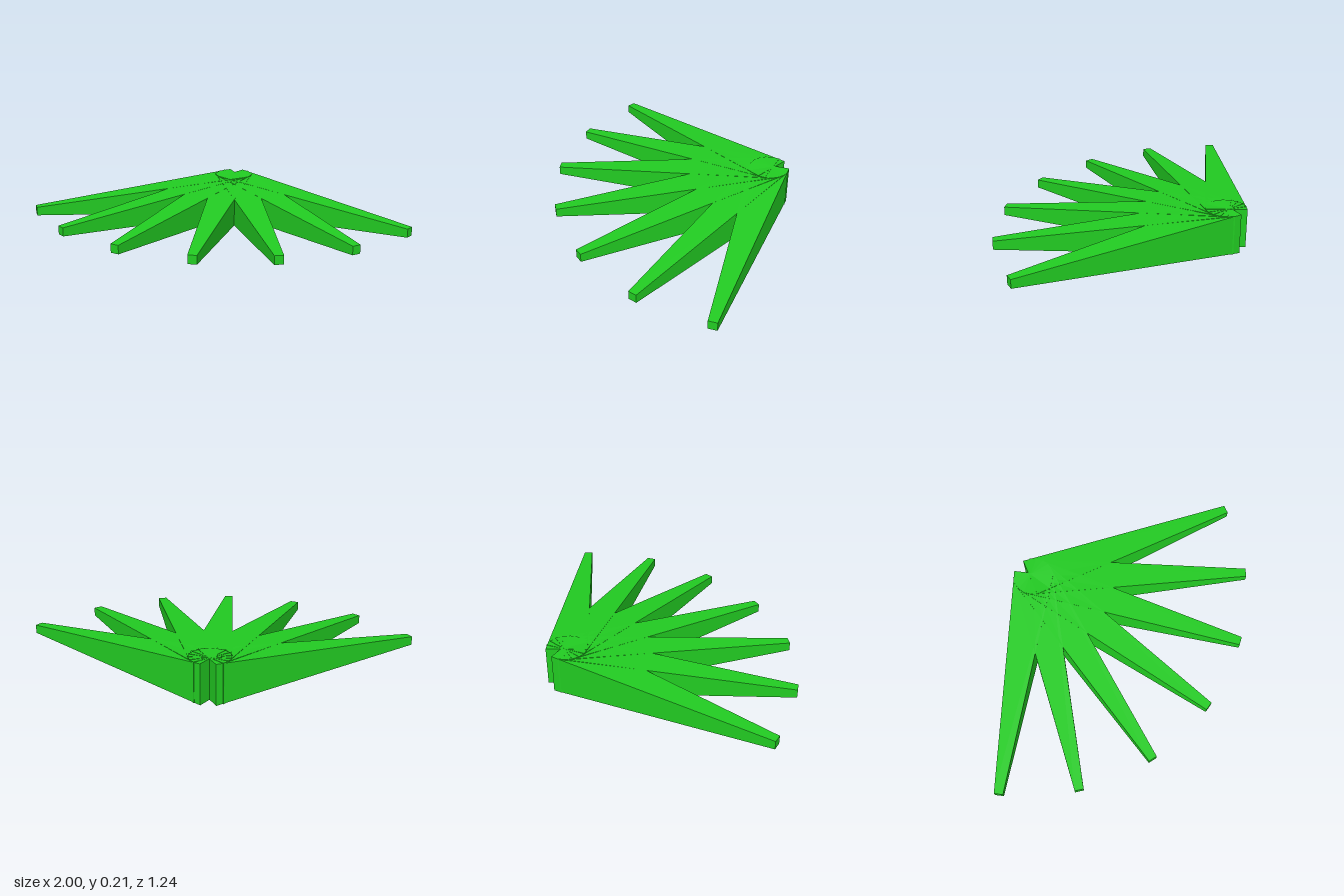
import * as THREE from 'three';

export function createModel() {
  const model = new THREE.Group();
  model.name = 'spikeFan';

  const green = new THREE.MeshStandardMaterial({ color: 0x22cc22, flatShading: true });
  green.name = 'leafGreen';

  // Square tapered spike pointing along +z, its wide end just behind the pivot
  const length = 1.157;
  const spike = new THREE.CylinderGeometry(0.0225 * Math.SQRT2, 0.1035 * Math.SQRT2, length, 4);
  spike.rotateY(Math.PI / 4);
  spike.rotateX(Math.PI / 2);
  spike.translate(0, 0, length / 2 - 0.017);

  // Seven spikes fanned at 20 degree steps about a shared pivot
  for (let i = -3; i <= 3; i++) {
    const mesh = new THREE.Mesh(spike, green);
    mesh.name = i === 0 ? 'spikeCentre' : (i > 0 ? 'spikeLeft' : 'spikeRight') + Math.abs(i);
    mesh.position.set(0, 0.1035, -0.523);
    mesh.rotation.y = THREE.MathUtils.degToRad(20 * i);
    model.add(mesh);
  }
  return model;
}
